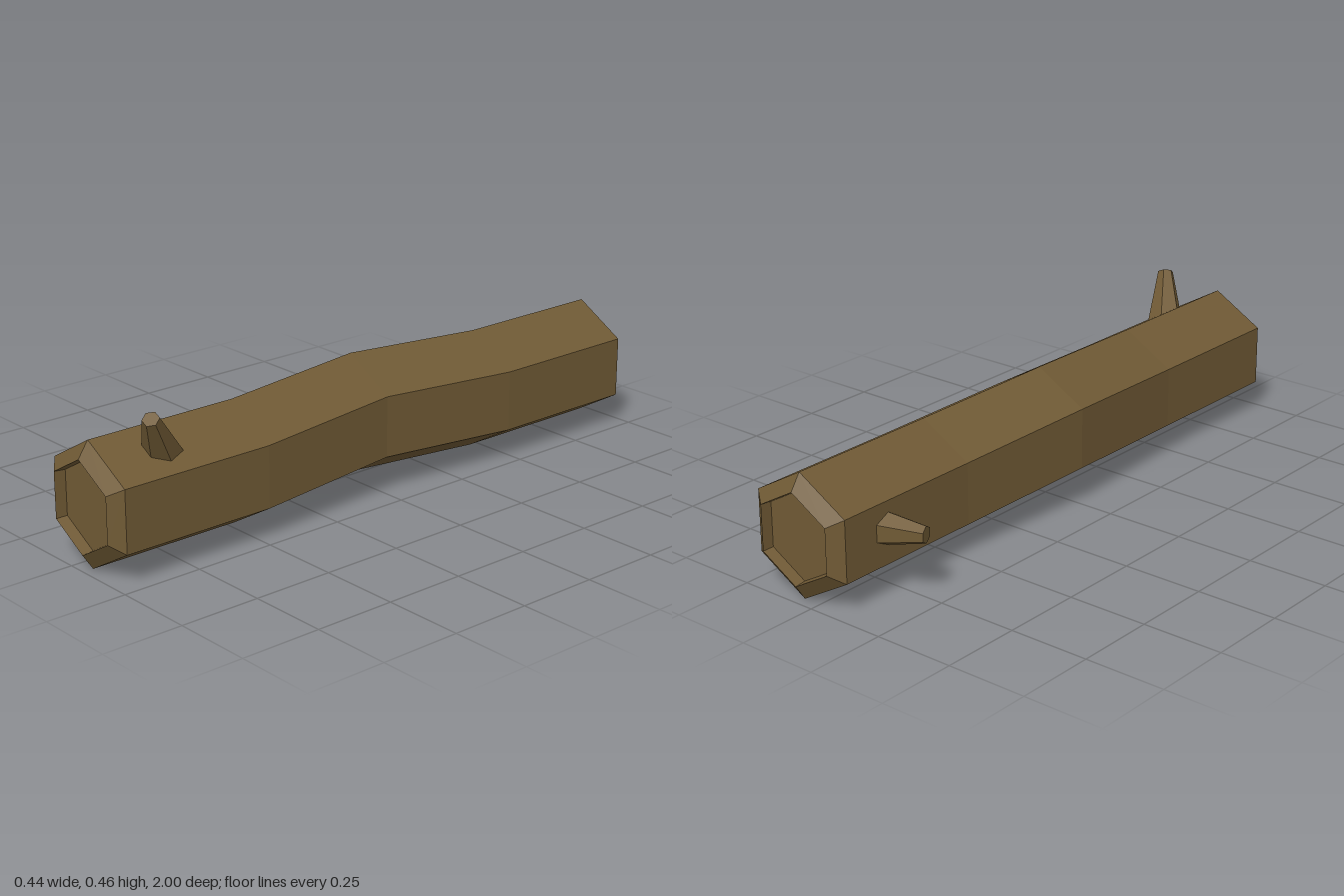
import * as THREE from 'three';

const SIDES = 6;
const bark = new THREE.MeshStandardMaterial({ color: 0x705a35, flatShading: true });

// Skin a row of hexagonal sections [z, centreX, centreY, radius], front to back
function loft(sections) {
  const point = ([z, x, y, r], i) => {
    const a = Math.PI / 2 + (i / SIDES) * Math.PI * 2;
    return [x + r * Math.cos(a), y + r * Math.sin(a), z];
  };
  const pos = [];
  for (let s = 0; s < sections.length - 1; s++) {
    const a = sections[s], b = sections[s + 1];
    for (let i = 0; i < SIDES; i++) {
      if (b[3] > 0) pos.push(...point(a, i), ...point(b, i), ...point(b, i + 1));
      if (a[3] > 0) pos.push(...point(a, i), ...point(b, i + 1), ...point(a, i + 1));
    }
  }
  const geo = new THREE.BufferGeometry();
  geo.setAttribute('position', new THREE.Float32BufferAttribute(pos, 3));
  geo.computeVertexNormals();
  return geo;
}

// Tapered twig stub from the bark surface to its tip, with its root sunk into the log
function twig(name, base, tip, up, rBase, rTip) {
  const start = new THREE.Vector3(...base), end = new THREE.Vector3(...tip);
  const axis = end.clone().sub(start);
  const length = axis.length();
  axis.normalize();
  const sink = 0.03;
  const rRoot = rBase + ((rBase - rTip) * sink) / length;
  const geo = new THREE.CylinderGeometry(rTip, rRoot, length + sink, SIDES);
  geo.translate(0, (length - sink) / 2, 0);
  const side = new THREE.Vector3().crossVectors(axis, new THREE.Vector3(...up)).normalize();
  const front = new THREE.Vector3().crossVectors(side, axis);
  const mesh = new THREE.Mesh(geo, bark);
  mesh.name = name;
  mesh.quaternion.setFromRotationMatrix(new THREE.Matrix4().makeBasis(side, axis, front));
  mesh.position.copy(start);
  return mesh;
}

export function createModel() {
  const group = new THREE.Group();
  group.name = 'log';

  // Trunk: recessed cut face, bevelled rim, straight end, then the bent middle
  const cx = 0.056, cy = 0.189;
  const half = [
    [0.965, cx, cy, 0],
    [0.965, cx, cy, 0.136],
    [1, cx, cy, 0.14],
    [0.967, cx, cy, 0.189],
    [0.475, cx, cy, 0.189],
  ];
  const back = half.map(([z, ...rest]) => [-z, ...rest]).reverse();
  const trunk = new THREE.Mesh(loft([...half, [0, 0.023, 0.212, 0.189], ...back]), bark);
  trunk.name = 'trunk';
  group.add(trunk);

  // Two broken twigs
  group.add(twig('frontTwig', [0.135, 0.333, 0.785], [0.187, 0.445, 0.852], [-0.88, 0.47, 0], 0.052, 0.025));
  group.add(twig('backTwig', [-0.108, 0.2, -0.8], [-0.214, 0.2, -0.766], [0, 1, 0], 0.049, 0.026));

  return group;
}
